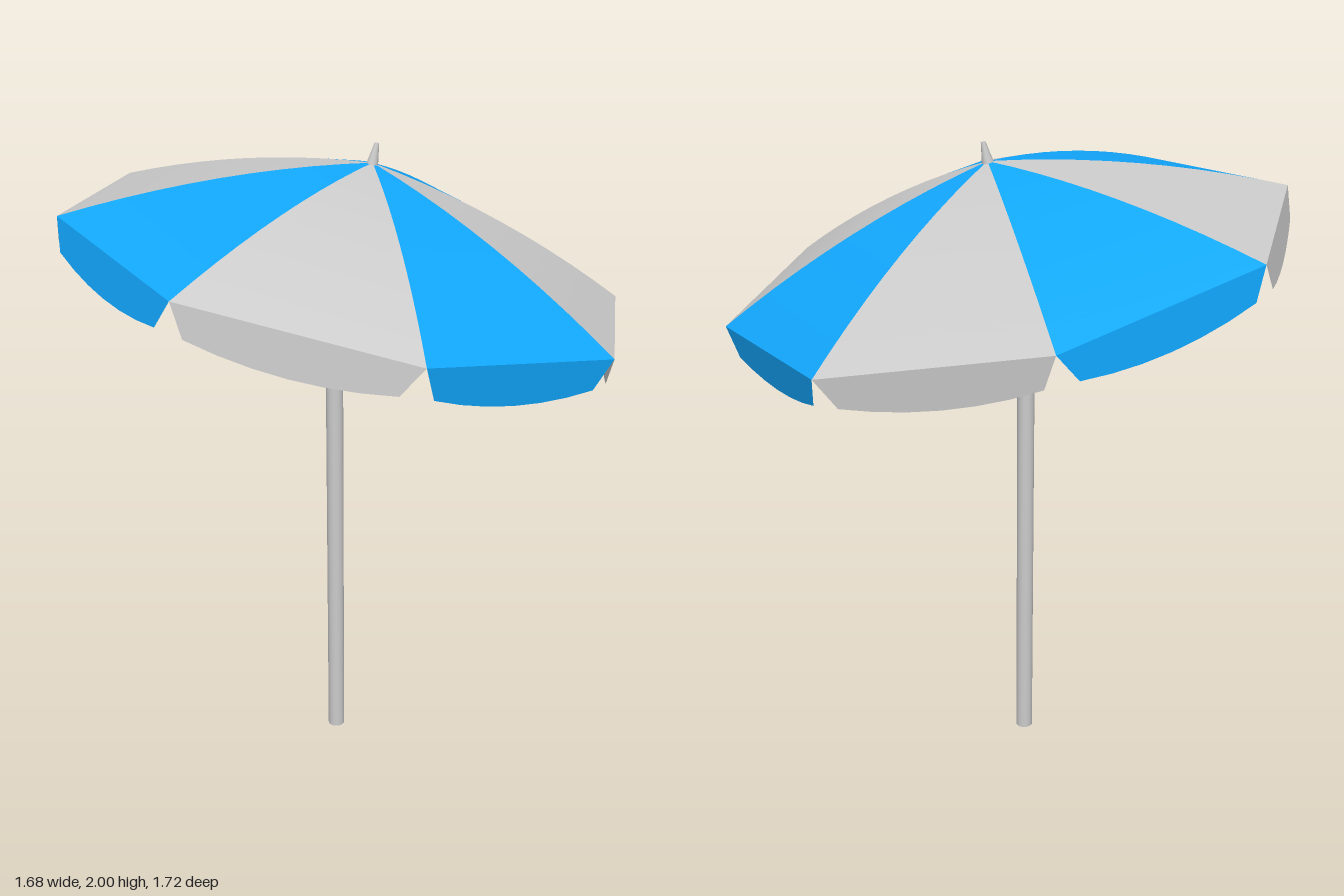
import * as THREE from 'three';

const TILT = 0.214, RIM_Y = 1.663, RADIUS = 0.86, RISE = 0.289, SIDES = 8;
const STEP = (Math.PI * 2) / SIDES;
const grey = new THREE.MeshStandardMaterial({ color: 0xcccccc });
const blue = new THREE.MeshStandardMaterial({ color: 0x12a8ff });
const greyCloth = grey.clone(), blueCloth = blue.clone();
greyCloth.side = blueCloth.side = THREE.DoubleSide;

// Surface through rows of points; flip turns it to face the other way
function loft(rows, flip = false) {
  const cols = rows[0].length, index = [];
  for (let j = 0; j < rows.length - 1; j++) {
    for (let i = 0; i < cols - 1; i++) {
      const a = j * cols + i, b = a + 1, c = a + cols, d = c + 1;
      if (flip) index.push(a, c, b, b, c, d);
      else index.push(a, b, c, b, d, c);
    }
  }
  const geo = new THREE.BufferGeometry().setFromPoints(rows.flat());
  geo.setIndex(index);
  geo.computeVertexNormals();
  return geo;
}

// Point on the domed canopy: t = 0 at the apex, 1 at the rim
function domePoint(t, angle, drop = 0) {
  const h = RISE * (1 - t) * (1 + 0.43 * t) - drop;
  return new THREE.Vector3(Math.cos(angle) * RADIUS * t, h, Math.sin(angle) * RADIUS * t);
}

function domeRows(angles, drop = 0) {
  return Array.from({ length: 11 }, (_, j) => angles.map((a) => domePoint(j / 10, a, drop)));
}

// Hanging flap along one rim edge, with inset ends and a bowed lower edge
function valanceRows(a0, a1) {
  const p = domePoint(1, a0), q = domePoint(1, a1), n = 6, inset = 0.075;
  return Array.from({ length: n + 1 }, (_, k) => {
    const s = k / n;
    const top = p.clone().lerp(q, s);
    const bottom = p.clone().lerp(q, inset + s * (1 - 2 * inset));
    bottom.y -= 0.089 + 0.03 * 4 * s * (1 - s);
    return [bottom, top];
  });
}

function addMesh(parent, name, geometry, material) {
  const mesh = new THREE.Mesh(geometry, material);
  mesh.name = name;
  parent.add(mesh);
  return mesh;
}

export function createModel() {
  const model = new THREE.Group();
  model.name = 'parasol';

  // Tilted canopy with alternating panels and flaps
  const canopy = new THREE.Group();
  canopy.name = 'canopy';
  canopy.position.y = RIM_Y;
  canopy.rotation.z = -TILT;
  model.add(canopy);
  for (let i = 0; i < SIDES; i++) {
    const a0 = i * STEP, a1 = a0 + STEP, odd = i % 2 === 1;
    addMesh(canopy, 'panel', loft(domeRows([a0, a1])), odd ? blue : grey);
    addMesh(canopy, 'valance', loft(valanceRows(a0, a1)), odd ? blueCloth : greyCloth);
  }

  // Plain blue lining
  const ring = Array.from({ length: SIDES + 1 }, (_, i) => i * STEP);
  addMesh(canopy, 'lining', loft(domeRows(ring, 0.003), true), blue);

  // Finial on the apex
  const finial = addMesh(canopy, 'finial', new THREE.CylinderGeometry(0.007, 0.018, 0.065, 12), grey);
  finial.position.y = RISE + 0.025;

  // Pole: upright, then mitred at the bend to follow the canopy axis
  const geo = new THREE.CylinderGeometry(0.027, 0.027, 2, 16, 2);
  const pos = geo.attributes.position;
  const bendY = 1.43, upper = 0.515;
  for (let i = 0; i < pos.count; i++) {
    const x = pos.getX(i), y = pos.getY(i);
    if (y > 0.5) {
      pos.setX(i, x * Math.cos(TILT) + upper * Math.sin(TILT));
      pos.setY(i, bendY + upper * Math.cos(TILT) - x * Math.sin(TILT));
    } else {
      pos.setY(i, y < -0.5 ? 0 : bendY - x * Math.tan(TILT / 2));
    }
  }
  addMesh(model, 'pole', geo, grey).position.x = -0.054;

  return model;
}
